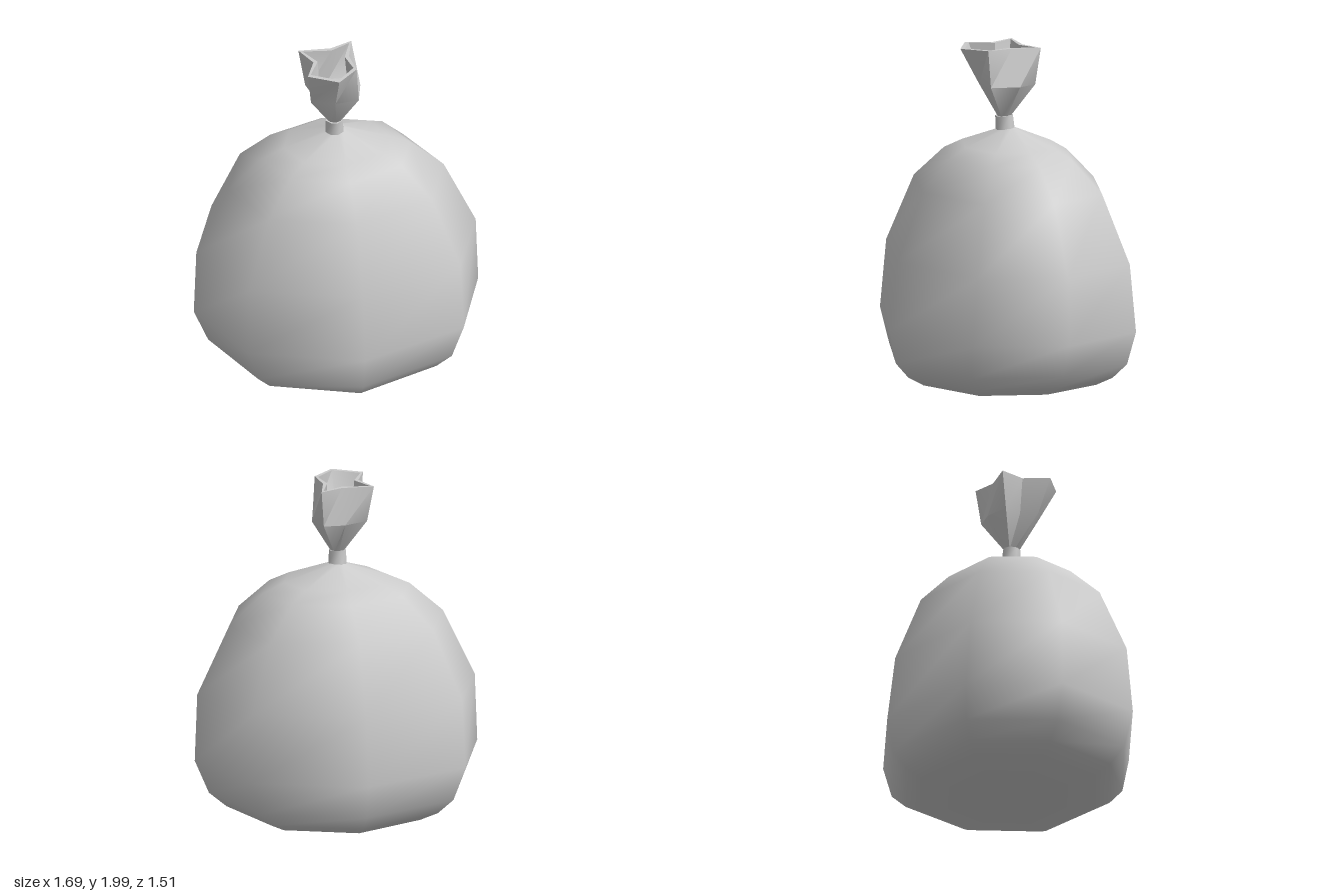
import * as THREE from 'three';
import { toCreasedNormals } from 'three/addons/utils/BufferGeometryUtils.js';

const material = new THREE.MeshStandardMaterial({ color: 0xcccccc });

// Skin a stack of closed rings (arrays of Vector3 running from +x towards +z)
function loft(rings) {
  const n = rings[0].length;
  const points = rings.flat();
  const index = [];
  const addFace = (a, b, c) => {
    const [p, q, r] = [points[a], points[b], points[c]];
    if (!p.equals(q) && !q.equals(r) && !r.equals(p)) index.push(a, b, c);
  };
  for (let j = 0; j < rings.length - 1; j++) {
    for (let i = 0; i < n; i++) {
      const a = j * n + i, b = j * n + (i + 1) % n;
      addFace(a, a + n, b);
      addFace(b, a + n, b + n);
    }
  }
  const geometry = new THREE.BufferGeometry().setFromPoints(points);
  geometry.setIndex(index);
  geometry.computeVertexNormals();
  return geometry;
}

function addMesh(group, name, geometry) {
  const mesh = new THREE.Mesh(geometry, material);
  mesh.name = name;
  group.add(mesh);
  return mesh;
}

// Eight-sided body ring with slightly full diagonals
const bodyRing = ([rx, rz, y]) => Array.from({ length: 8 }, (_, i) => {
  const angle = i * Math.PI / 4;
  const diagonal = i % 2;
  const x = diagonal ? 0.757 * Math.sign(Math.cos(angle)) : Math.round(Math.cos(angle));
  const z = diagonal ? 0.69 * Math.sign(Math.sin(angle)) : Math.round(Math.sin(angle));
  return new THREE.Vector3(x * rx, y, z * rz);
});

// Gathered neck centre
const NX = -0.013, NZ = 0.02;

const ring = (outline, y) => outline.map(([x, z]) => new THREE.Vector3(x, y, z));

// Pull an outline towards the neck axis by the wall thickness
const inset = (outline, t) => outline.map(([x, z]) => {
  const k = 1 - t / Math.hypot(x - NX, z - NZ);
  return [NX + (x - NX) * k, NZ + (z - NZ) * k];
});

const circle = (r) => Array.from({ length: 8 }, (_, i) =>
  [NX + r * Math.cos(i * Math.PI / 4), NZ + r * Math.sin(i * Math.PI / 4)]);

export function createModel() {
  const group = new THREE.Group();
  group.name = 'tiedSack';

  // Stuffed body: half width, half depth, height
  const profile = [
    [0, 0, 0.005], [0.34, 0.32, 0.01], [0.54, 0.54, 0.037], [0.655, 0.635, 0.09],
    [0.76, 0.715, 0.18], [0.845, 0.755, 0.38], [0.83, 0.705, 0.78],
    [0.64, 0.545, 1.18], [0.44, 0.37, 1.36], [0.31, 0.27, 1.42],
    [0.045, 0.045, 1.515], [0, 0, 1.52],
  ];
  addMesh(group, 'sackBody', loft(profile.map(bodyRing)));

  // Band around the neck
  const tie = new THREE.CylinderGeometry(0.052, 0.056, 0.08, 8);
  const band = addMesh(group, 'tie', toCreasedNormals(tie, 0.9));
  band.position.set(NX, 1.55, NZ - 0.004);
  band.rotation.set(0.06, 0.2, 0.03);

  // Open, folded mouth above the tie: full at mid height, pinched at the rim
  const middle = [
    [0.147, -0.01], [0.1, 0.155], [-0.04, 0.165], [-0.176, 0.12],
    [-0.125, 0.025], [-0.165, -0.08], [-0.02, -0.135], [0.105, -0.125],
  ];
  const rim = [
    [0.075, 0.01], [0.085, 0.165], [-0.045, 0.283], [-0.208, 0.18],
    [-0.142, 0.033], [-0.198, -0.114], [-0.01, -0.098], [0.125, -0.152],
  ];
  const mouth = loft([
    ring(circle(0.036), 1.58), ring(middle, 1.78), ring(rim, 1.997),
    ring(inset(rim, 0.026), 1.997), ring(inset(middle, 0.024), 1.78),
    ring(circle(0.014), 1.6), ring(circle(0), 1.6),
  ]);
  addMesh(group, 'sackMouth', toCreasedNormals(mouth, 0.7));

  return group;
}
